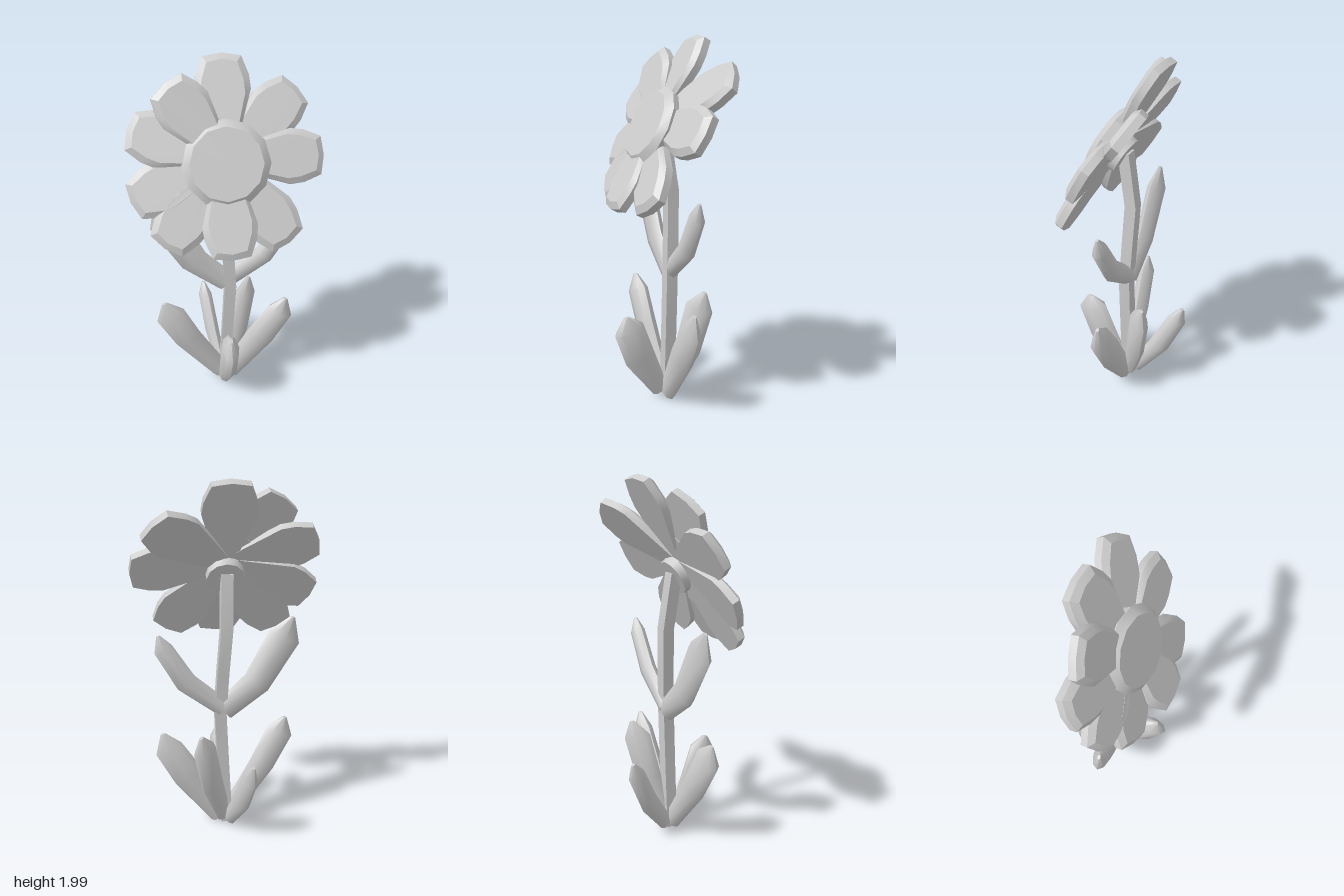
import * as THREE from 'three';
import { toCreasedNormals } from 'three/addons/utils/BufferGeometryUtils.js';

const material = new THREE.MeshStandardMaterial({ color: 0xcccccc });
const V = (x, y, z) => new THREE.Vector3(x, y, z);

// Skin a row of equal-sized rings (counter-clockwise about the direction of travel), capped at both ends
function loft(rings, crease) {
  const n = rings[0].length, pos = [], index = [];
  rings.flat().forEach(p => pos.push(p.x, p.y, p.z));
  for (let i = 0; i < rings.length - 1; i++) {
    for (let j = 0; j < n; j++) {
      const k = (j + 1) % n, a = i * n + j, b = i * n + k;
      index.push(a, b, b + n, a, b + n, a + n);
    }
  }
  const last = (rings.length - 1) * n;
  for (let j = 1; j < n - 1; j++) {
    index.push(0, j + 1, j, last, last + j, last + j + 1);
  }
  const g = new THREE.BufferGeometry();
  g.setAttribute('position', new THREE.Float32BufferAttribute(pos, 3));
  g.setIndex(index);
  return toCreasedNormals(g, crease);
}

// Ellipse ring spanned by two axes
function ellipse(center, a, b, sides) {
  return Array.from({ length: sides }, (_, i) => {
    const t = (i / sides) * Math.PI * 2;
    return center.clone().addScaledVector(a, Math.cos(t)).addScaledVector(b, Math.sin(t));
  });
}

function add(parent, name, geometry) {
  const mesh = new THREE.Mesh(geometry, material);
  mesh.name = name;
  parent.add(mesh);
  return mesh;
}

// Thick pod-like leaf bending outward in a vertical plane; spine rows are [reach, height, half width, half thickness]
function leafGeometry(dirX, dirZ, spine) {
  const e = V(dirX, 0, dirZ).normalize(), up = V(0, 1, 0);
  const side = up.clone().cross(e);
  const rings = spine.map(([r, y, w, th], i) => {
    const p = spine[Math.max(i - 1, 0)], q = spine[Math.min(i + 1, spine.length - 1)];
    const len = Math.hypot(q[0] - p[0], q[1] - p[1]);
    const wide = e.clone().multiplyScalar((q[1] - p[1]) / len).addScaledVector(up, -(q[0] - p[0]) / len);
    const c = e.clone().multiplyScalar(r).addScaledVector(up, y);
    return ellipse(c, wide.multiplyScalar(w), side.clone().multiplyScalar(th), 8);
  });
  return loft(rings, 0.9);
}

// Petal along +y: flat back, upright rim, bevel to a smaller flat front face
function petalGeometry() {
  const half = [[0.05, 0.03], [0.1, 0.2], [0.138, 0.33], [0.13, 0.4], [0.095, 0.49]];
  const outline = [...half, [0, 0.505], ...half.map(([x, y]) => [-x, y]).reverse()];
  const ring = (z, sx, sy) => outline.map(([x, y]) => V(x * sx, 0.03 + (y - 0.03) * sy, z));
  return loft([ring(0, 1, 1), ring(0.04, 1, 1), ring(0.062, 0.78, 0.93)], 0.45);
}

export function createModel() {
  const model = new THREE.Group();
  model.name = 'flower';

  // Gently curved square stem
  const stemPath = [[0, 0.02, -0.01], [0.02, 0.4, -0.01], [0.035, 0.72, -0.01], [0.022, 0.95, -0.02], [0.003, 1.2, -0.03], [-0.005, 1.5, 0.015]];
  const h = 0.032;
  add(model, 'stem', loft(stemPath.map(([x, y, z]) =>
    ellipse(V(x, y, z), V(h, 0, h), V(h, 0, -h), 4), 0.6)));

  // Leaves halfway up the stem
  const upper = new THREE.Group();
  upper.name = 'upperLeaves';
  upper.position.set(0.02, 0, -0.018);
  model.add(upper);
  add(upper, 'leftUpperLeaf', leafGeometry(1, 0, [
    [0.0, 0.75, 0.05, 0.038], [0.2, 0.912, 0.06, 0.042],
    [0.318, 1.11, 0.052, 0.038], [0.342, 1.185, 0.01, 0.008]]));
  add(upper, 'rightUpperLeaf', leafGeometry(-1, 0, [
    [0.005, 0.735, 0.065, 0.038], [0.185, 0.89, 0.082, 0.044],
    [0.332, 1.15, 0.092, 0.042], [0.375, 1.26, 0.014, 0.01]]));

  // Leaves around the foot
  const lower = new THREE.Group();
  lower.name = 'lowerLeaves';
  model.add(lower);
  const feet = [
    ['rightLowerLeaf', -1, 0.12, [[0.015, 0.055, 0.055, 0.038], [0.215, 0.355, 0.08, 0.052], [0.314, 0.55, 0.085, 0.048], [0.345, 0.64, 0.014, 0.01]]],
    ['leftLowerLeaf', 1, 0, [[0.035, 0.045, 0.06, 0.038], [0.215, 0.32, 0.09, 0.052], [0.325, 0.505, 0.08, 0.048], [0.355, 0.6, 0.014, 0.01]]],
    ['frontLowerLeaf', 0.08, 1, [[0.035, 0.05, 0.05, 0.036], [0.165, 0.275, 0.09, 0.052], [0.228, 0.445, 0.088, 0.05], [0.243, 0.515, 0.018, 0.012]]],
    ['backRightLowerLeaf', -0.1, -0.28, [[0.045, 0.05, 0.045, 0.03], [0.185, 0.235, 0.062, 0.042], [0.285, 0.44, 0.055, 0.04], [0.315, 0.52, 0.012, 0.01]]],
    ['backLeftLowerLeaf', 0.145, -0.15, [[0.025, 0.06, 0.05, 0.036], [0.13, 0.31, 0.075, 0.05], [0.195, 0.555, 0.078, 0.047], [0.225, 0.645, 0.014, 0.01]]],
  ];
  feet.forEach(([name, x, z, spine]) => add(lower, name, leafGeometry(x, z, spine)));

  // Flower head, tipped back to look up
  const head = new THREE.Group();
  head.name = 'flowerHead';
  head.position.set(0, 1.54, 0.03);
  head.rotation.x = -0.505;
  model.add(head);

  // Petals: direction in degrees, lift of the tip, relative length
  const petal = petalGeometry();
  const petals = [
    [90, -0.002, 1], [42, -0.095, 1.02], [0, -0.045, 0.98], [-54, -0.035, 1.05], [-88, 0.01, 1],
    [-126, -0.045, 1.06], [-157, -0.045, 1.01], [162, -0.008, 0.98], [128, 0.065, 0.92]];
  petals.forEach(([deg, lift, length]) => {
    const p = add(head, 'petal', petal);
    p.rotation.order = 'ZXY';
    p.rotation.set(lift / 0.5, 0, THREE.MathUtils.degToRad(deg - 90));
    p.scale.y = length;
  });

  // Bevelled centre disc
  const profile = [[0, 0.01], [0.21, 0.01], [0.22, 0.055], [0.182, 0.088], [0, 0.088]];
  const disc = add(head, 'centreDisc', toCreasedNormals(
    new THREE.LatheGeometry(profile.map(([r, y]) => new THREE.Vector2(r, y)), 12), 0.4));
  disc.rotation.x = Math.PI / 2 + 0.06;
  disc.position.set(0.005, -0.025, 0);

  // Cup behind the petals where the stem joins
  const cup = add(head, 'cup', toCreasedNormals(new THREE.CylinderGeometry(0.105, 0.1, 0.07, 12), 0.6));
  cup.rotation.x = Math.PI / 2;
  cup.position.set(0, -0.05, -0.015);

  return model;
}
